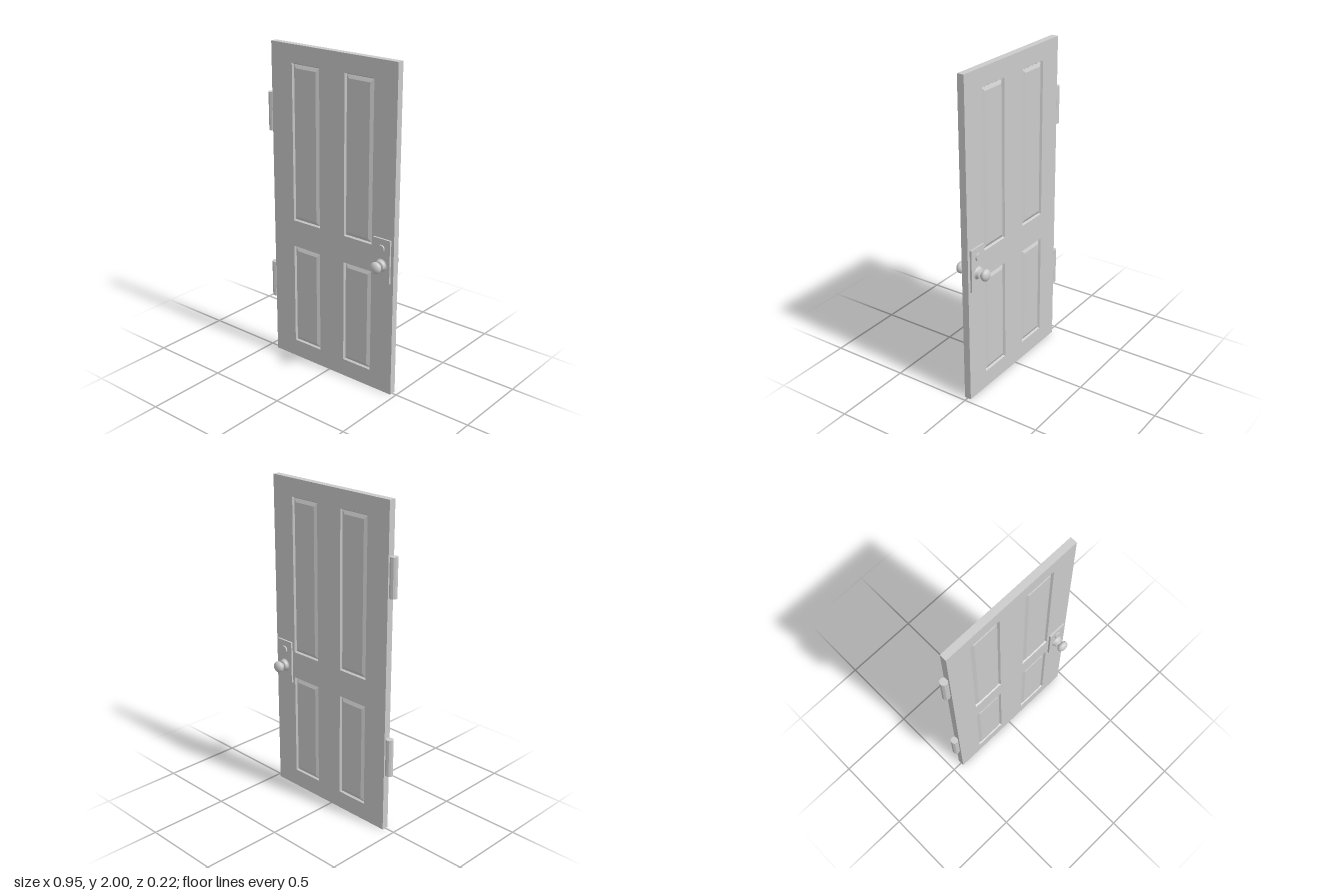
import * as THREE from 'three';

const W = 0.906, HALF_T = 0.0215;      // slab width, half thickness
const CX = 0.019, CZ = -0.0015;        // slab centre

const mat = new THREE.MeshStandardMaterial({ color: 0xcccccc });

function add(parent, name, geometry) {
  const mesh = new THREE.Mesh(geometry, mat);
  mesh.name = name;
  parent.add(mesh);
  return mesh;
}

// Sunken moulding and raised field: rectangular rings [inset, z] joined by quads
function panelGeometry(w, h) {
  const rings = [[0, HALF_T], [0.007, HALF_T - 0.012], [0.029, HALF_T - 0.002]].map(([inset, z]) => {
    const x = w / 2 - inset, y = h / 2 - inset;
    return [[-x, -y, z], [x, -y, z], [x, y, z], [-x, y, z]];
  });
  const pos = [];
  const quad = (a, b, c, d) => pos.push(...a, ...b, ...c, ...a, ...c, ...d);
  for (let r = 0; r < rings.length - 1; r++) {
    for (let i = 0; i < 4; i++) {
      const j = (i + 1) % 4;
      quad(rings[r][i], rings[r][j], rings[r + 1][j], rings[r + 1][i]);
    }
  }
  quad(...rings[rings.length - 1]);
  const geo = new THREE.BufferGeometry();
  geo.setAttribute('position', new THREE.Float32BufferAttribute(pos, 3));
  geo.computeVertexNormals();
  return geo;
}

// Turned part whose axis points along +z; profile is [radius, z]
function turned(profile, segments = 32) {
  const geo = new THREE.LatheGeometry(profile.map(p => new THREE.Vector2(...p)), segments);
  return geo.rotateX(Math.PI / 2);
}

function rect(target, x0, x1, y0, y1) {
  target.moveTo(x0, y0);
  target.lineTo(x1, y0);
  target.lineTo(x1, y1);
  target.lineTo(x0, y1);
  target.closePath();
  return target;
}

export function createModel() {
  const door = new THREE.Group();
  door.name = 'door';

  // Slab with four panel openings
  const panelW = 0.205, panelX = 0.194;
  const rows = [['lowerPanel', 0.111, 0.759], ['upperPanel', 0.927, 1.892]];
  const shape = rect(new THREE.Shape(), -W / 2, W / 2, 0, 2);
  for (const [, y0, y1] of rows) {
    for (const s of [-1, 1]) {
      shape.holes.push(rect(new THREE.Path(), s * panelX - panelW / 2, s * panelX + panelW / 2, y0, y1));
    }
  }
  const slabGeo = new THREE.ExtrudeGeometry(shape, { depth: HALF_T * 2, bevelEnabled: false });
  add(door, 'slab', slabGeo.translate(0, 0, -HALF_T)).position.set(CX, 0, CZ);

  // Raised panels on both faces
  for (const turn of [0, Math.PI]) {
    const face = new THREE.Group();
    face.name = turn ? 'backPanels' : 'frontPanels';
    face.position.set(CX, 0, CZ);
    face.rotation.y = turn;
    for (const [name, y0, y1] of rows) {
      for (const s of [-1, 1]) {
        add(face, name, panelGeometry(panelW, y1 - y0)).position.set(s * panelX, (y0 + y1) / 2, 0);
      }
    }
    door.add(face);
  }

  // Hinge barrels
  for (const y of [0.487, 1.577]) {
    const geo = new THREE.CylinderGeometry(0.0235, 0.0235, 0.234, 10).toNonIndexed();
    geo.computeVertexNormals();
    add(door, 'hinge', geo).position.set(-0.454, y, CZ);
  }

  // Lock plate wraps both faces
  add(door, 'lockPlate', new THREE.BoxGeometry(0.12, 0.266, 0.067)).position.set(0.393, 0.853, CZ);

  // Knob, rose and lock cylinder on each side
  for (const turn of [0, Math.PI]) {
    const handle = new THREE.Group();
    handle.name = turn ? 'backHandle' : 'frontHandle';
    handle.position.set(0.393, 0.825, CZ);
    handle.rotation.y = turn;
    add(handle, 'roseFlare', turned([[0.04, 0.033], [0.035, 0.036], [0.032, 0.042], [0.03, 0.05]].reverse()));
    add(handle, 'roseCap', turned([[0, 0.058], [0.029, 0.058], [0.03, 0.05]]));
    add(handle, 'neck', turned([[0.016, 0.075], [0.015, 0.066], [0.019, 0.057]]));
    const knob = add(handle, 'knob', new THREE.SphereGeometry(0.036, 32, 20).rotateX(Math.PI / 2));
    knob.scale.z = 0.66;
    knob.position.z = 0.085;
    const lock = add(handle, 'lockCylinder', new THREE.CylinderGeometry(0.023, 0.024, 0.014, 24).rotateX(Math.PI / 2));
    lock.position.set(0, 0.102, 0.035);
    door.add(handle);
  }

  // Lathe parts drawn from both sides
  mat.side = THREE.DoubleSide;
  return door;
}
